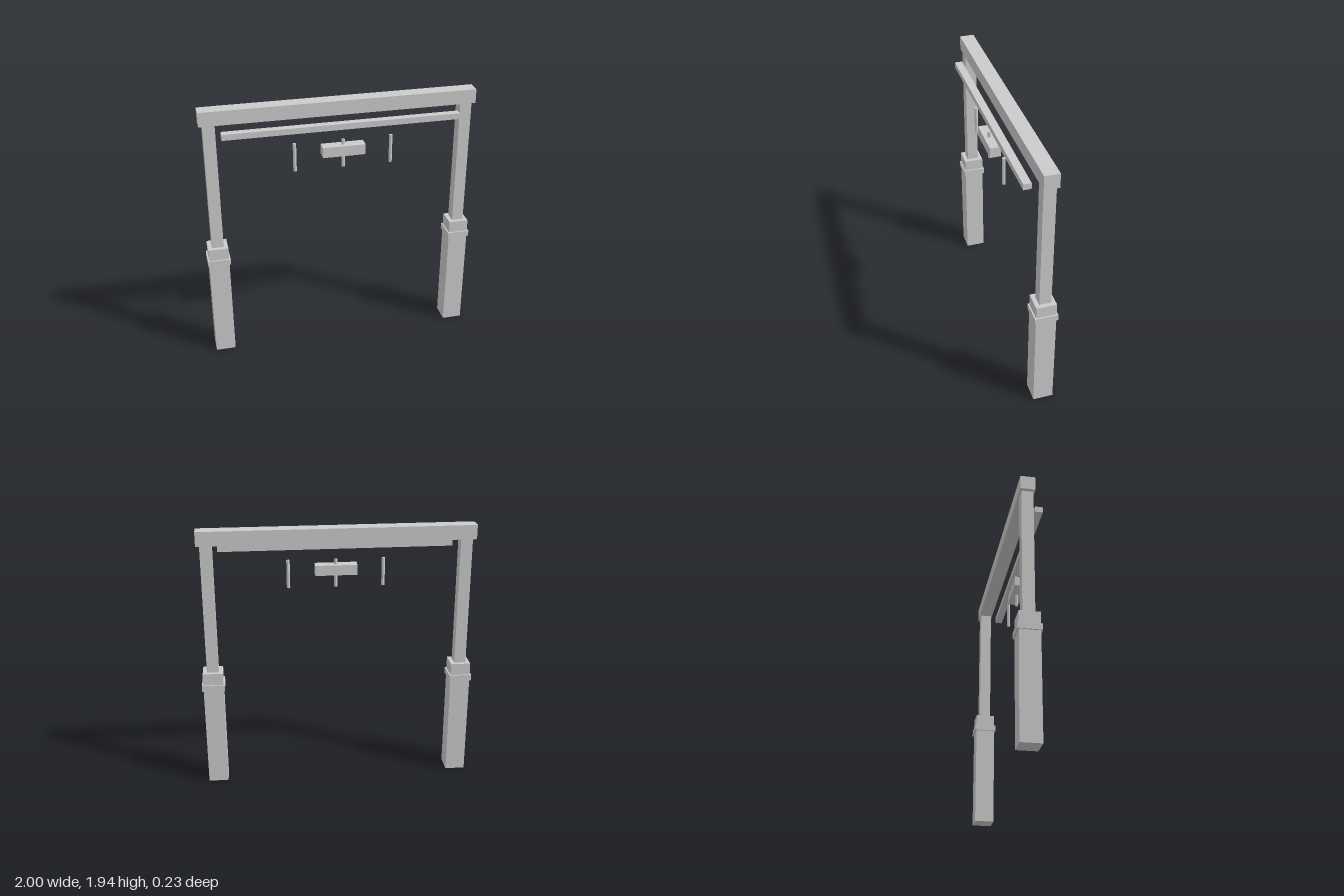
import * as THREE from 'three';

const material = new THREE.MeshStandardMaterial({ color: 0xcccccc, flatShading: true });

const FRAME_Z = -0.031; // depth of the posts and beam
const HUNG_Z = 0.0735; // depth of the rail, block and rods

// Adds a box spanning y0..y1, centred on x and z
function addBox(parent, name, width, y0, y1, depth, x, z) {
  const mesh = new THREE.Mesh(new THREE.BoxGeometry(width, y1 - y0, depth), material);
  mesh.name = name;
  mesh.position.set(x, (y0 + y1) / 2, z);
  parent.add(mesh);
}

export function createModel() {
  const model = new THREE.Group();
  model.name = 'gateway';

  // Two posts on square pedestals with a collar
  for (const side of [-1, 1]) {
    const column = new THREE.Group();
    column.name = side > 0 ? 'leftColumn' : 'rightColumn';
    column.position.set(side * 0.9165, 0, FRAME_Z);
    addBox(column, 'pedestal', 0.145, 0, 0.888, 0.145, 0, 0);
    addBox(column, 'collar', 0.165, 0.755, 0.8, 0.165, 0, 0);
    addBox(column, 'post', 0.085, 0.888, 1.836, 0.085, 0, 0);
    model.add(column);
  }

  // Top beam, with the thinner rail and the block in front of it
  addBox(model, 'topBeam', 1.97, 1.835, 1.938, 0.105, 0, FRAME_Z - 0.001);
  addBox(model, 'rail', 1.684, 1.757, 1.8, 0.055, 0, HUNG_Z);
  addBox(model, 'block', 0.305, 1.563, 1.638, 0.08, 0, HUNG_Z);

  // Three slim vertical rods
  const rodGeometry = new THREE.CylinderGeometry(0.0125, 0.0125, 0.207, 8);
  for (const x of [-0.345, 0, 0.345]) {
    const rod = new THREE.Mesh(rodGeometry, material);
    rod.name = 'rod';
    rod.position.set(x, 1.572, HUNG_Z);
    model.add(rod);
  }
  return model;
}
